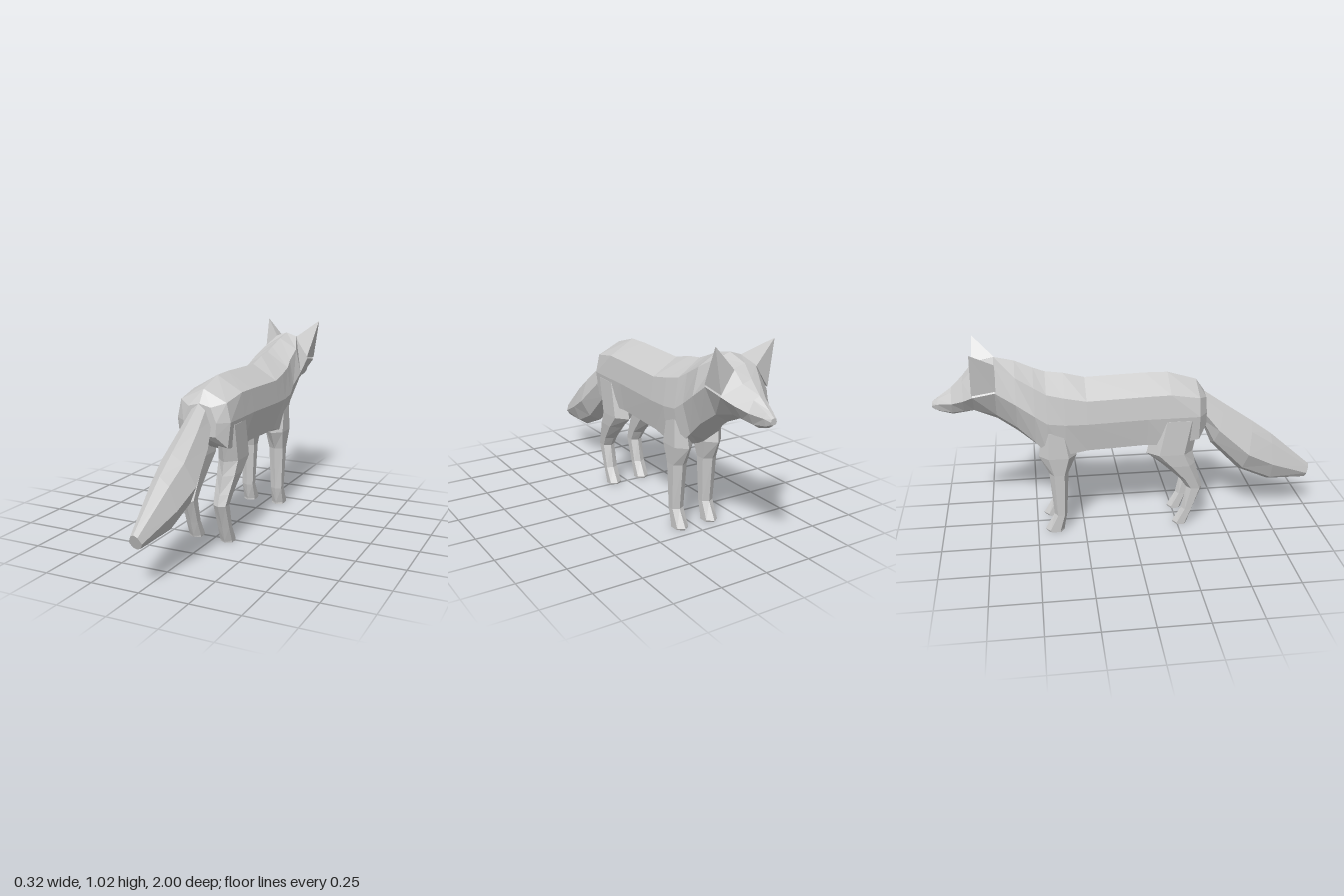
import * as THREE from 'three';

const material = new THREE.MeshStandardMaterial({ color: 0xcccccc, flatShading: true });

// Skin a closed surface over rings of [x, y, z] points, with fan caps at both ends.
function loft(name, rings) {
  const n = rings[0].length;
  const last = (rings.length - 1) * n;
  const points = rings.flat();
  let faces = [];
  for (let r = 0; r < rings.length - 1; r++) {
    for (let i = 0; i < n; i++) {
      const a = r * n + i, b = r * n + (i + 1) % n;
      // Split quads symmetrically on the two halves of the ring
      if (i < n / 2) faces.push([a, b, a + n], [b, b + n, a + n]);
      else faces.push([a, b, b + n], [a, b + n, a + n]);
    }
  }
  for (let i = 1; i < n - 1; i++) {
    faces.push([0, i + 1, i], [last, last + i, last + i + 1]);
  }
  // Make the faces point outwards whichever way the rings run
  const v = points.map(p => new THREE.Vector3(...p));
  const volume = faces.reduce((sum, [a, b, c]) => sum + v[a].dot(v[b].clone().cross(v[c])), 0);
  if (volume < 0) faces = faces.map(([a, b, c]) => [a, c, b]);

  const geometry = new THREE.BufferGeometry();
  geometry.setAttribute('position',
    new THREE.Float32BufferAttribute(faces.flat().flatMap(i => points[i]), 3));
  geometry.computeVertexNormals();
  const mesh = new THREE.Mesh(geometry, material);
  mesh.name = name;
  return mesh;
}

// Eight-sided section: spine, back edge, flank, lower edge, underside and their mirror.
function bodyRing([z, top, yBack, wBack, yFlank, wFlank, yLow, wLow, bottom]) {
  const cx = z > -0.5 ? -0.012 : 0;
  const half = [[wBack, yBack], [wFlank, yFlank], [wLow, yLow]];
  return [
    [cx, top, z],
    ...half.map(([w, y]) => [cx + w, y, z]),
    [cx, bottom, z],
    ...half.reverse().map(([w, y]) => [cx - w, y, z]),
  ];
}

// Tail section between a top and a bottom point of the side profile.
function tailRing([zTop, yTop, zBottom, yBottom, w]) {
  const outline = [[0, 0], [0.55, 0.15], [1, 0.55], [0.6, 0.88], [0, 1], [-0.6, 0.88], [-1, 0.55], [-0.55, 0.15]];
  return outline.map(([x, t]) => [
    -0.018 + x * w,
    THREE.MathUtils.lerp(yTop, yBottom, t),
    THREE.MathUtils.lerp(zTop, zBottom, t),
  ]);
}

// Six-sided leg section with a ridge at the front and back.
function legRing([y, zBack, zFront, xIn, xOut], side) {
  const mid = (xIn + xOut) / 2;
  const a = THREE.MathUtils.lerp(zBack, zFront, 0.22);
  const b = THREE.MathUtils.lerp(zBack, zFront, 0.75);
  return [[mid, zBack], [xOut, a], [xOut, b], [mid, zFront], [xIn, b], [xIn, a]]
    .map(([x, z]) => [-0.012 + side * x, y, z]);
}

export function createModel() {
  const group = new THREE.Group();
  group.name = 'fox';

  // Trunk, rump to shoulders and neck
  const trunk = [
    [0.395, 0.73, 0.715, 0.06, 0.64, 0.09, 0.57, 0.085, 0.57],
    [0.35, 0.795, 0.735, 0.125, 0.64, 0.146, 0.51, 0.13, 0.53],
    [0.2, 0.84, 0.762, 0.135, 0.64, 0.148, 0.48, 0.13, 0.46],
    [0.08, 0.842, 0.76, 0.135, 0.64, 0.148, 0.49, 0.125, 0.445],
    [-0.23, 0.832, 0.75, 0.135, 0.63, 0.148, 0.475, 0.122, 0.43],
    [-0.34, 0.86, 0.77, 0.13, 0.63, 0.146, 0.455, 0.122, 0.425],
    [-0.43, 0.872, 0.79, 0.122, 0.64, 0.142, 0.45, 0.11, 0.44],
    [-0.49, 0.895, 0.825, 0.112, 0.68, 0.134, 0.52, 0.09, 0.475],
    [-0.58, 0.932, 0.875, 0.1, 0.74, 0.13, 0.6, 0.08, 0.55],
    [-0.68, 0.955, 0.935, 0.06, 0.81, 0.132, 0.67, 0.07, 0.625],
  ];
  group.add(loft('body', trunk.map(bodyRing)));

  // Head, tapering to the muzzle
  const head = [
    trunk[trunk.length - 1],
    [-0.79, 0.925, 0.91, 0.06, 0.79, 0.128, 0.7, 0.06, 0.675],
    [-0.84, 0.865, 0.85, 0.048, 0.76, 0.095, 0.69, 0.045, 0.668],
    [-0.9, 0.805, 0.79, 0.032, 0.735, 0.06, 0.68, 0.032, 0.66],
    [-0.97, 0.755, 0.75, 0.018, 0.725, 0.03, 0.69, 0.02, 0.68],
    [-1, 0.732, 0.728, 0.012, 0.715, 0.016, 0.703, 0.012, 0.7],
  ];
  group.add(loft('head', head.map(bodyRing)));

  // Tail
  const tail = [
    [0.35, 0.76, 0.385, 0.56, 0.06],
    [0.5, 0.655, 0.44, 0.43, 0.088],
    [0.66, 0.545, 0.6, 0.265, 0.11],
    [0.77, 0.465, 0.77, 0.19, 0.088],
    [1, 0.265, 0.97, 0.188, 0.034],
  ];
  group.add(loft('tail', tail.map(tailRing)));

  // Leg sections: height, back z, front z, inner x, outer x
  const frontLeg = [
    [0.58, -0.32, -0.46, 0.06, 0.135],
    [0.44, -0.285, -0.48, 0.035, 0.138],
    [0.34, -0.33, -0.43, 0.048, 0.13],
    [0.1, -0.343, -0.41, 0.058, 0.122],
    [0.01, -0.36, -0.462, 0.056, 0.122],
    [0, -0.36, -0.455, 0.056, 0.122],
  ];
  const hindLeg = [
    [0.62, 0.36, 0.12, 0.05, 0.147],
    [0.43, 0.325, 0.08, 0.04, 0.147],
    [0.36, 0.34, 0.165, 0.045, 0.143],
    [0.27, 0.365, 0.26, 0.052, 0.13],
    [0.215, 0.383, 0.298, 0.056, 0.123],
    [0.09, 0.335, 0.272, 0.058, 0.122],
    [0.01, 0.308, 0.225, 0.056, 0.122],
    [0, 0.305, 0.23, 0.056, 0.122],
  ];

  for (const [label, side] of [['left', 1], ['right', -1]]) {
    // The animal looks towards -z, but left stays on +x
    group.add(loft(`${label}FrontLeg`, frontLeg.map(s => legRing(s, side))));
    group.add(loft(`${label}HindLeg`, hindLeg.map(s => legRing(s, side))));

    // Ear: a four-sided base drawn up to a point
    const base = [[0.058, 0.93, -0.675], [0.132, 0.82, -0.675], [0.128, 0.8, -0.795], [0.06, 0.905, -0.795]];
    const tip = [0.161, 1.02, -0.79];
    group.add(loft(`${label}Ear`, [base, base.map(() => tip)]
      .map(ring => ring.map(([x, y, z]) => [side * x, y, z]))));
  }
  return group;
}
